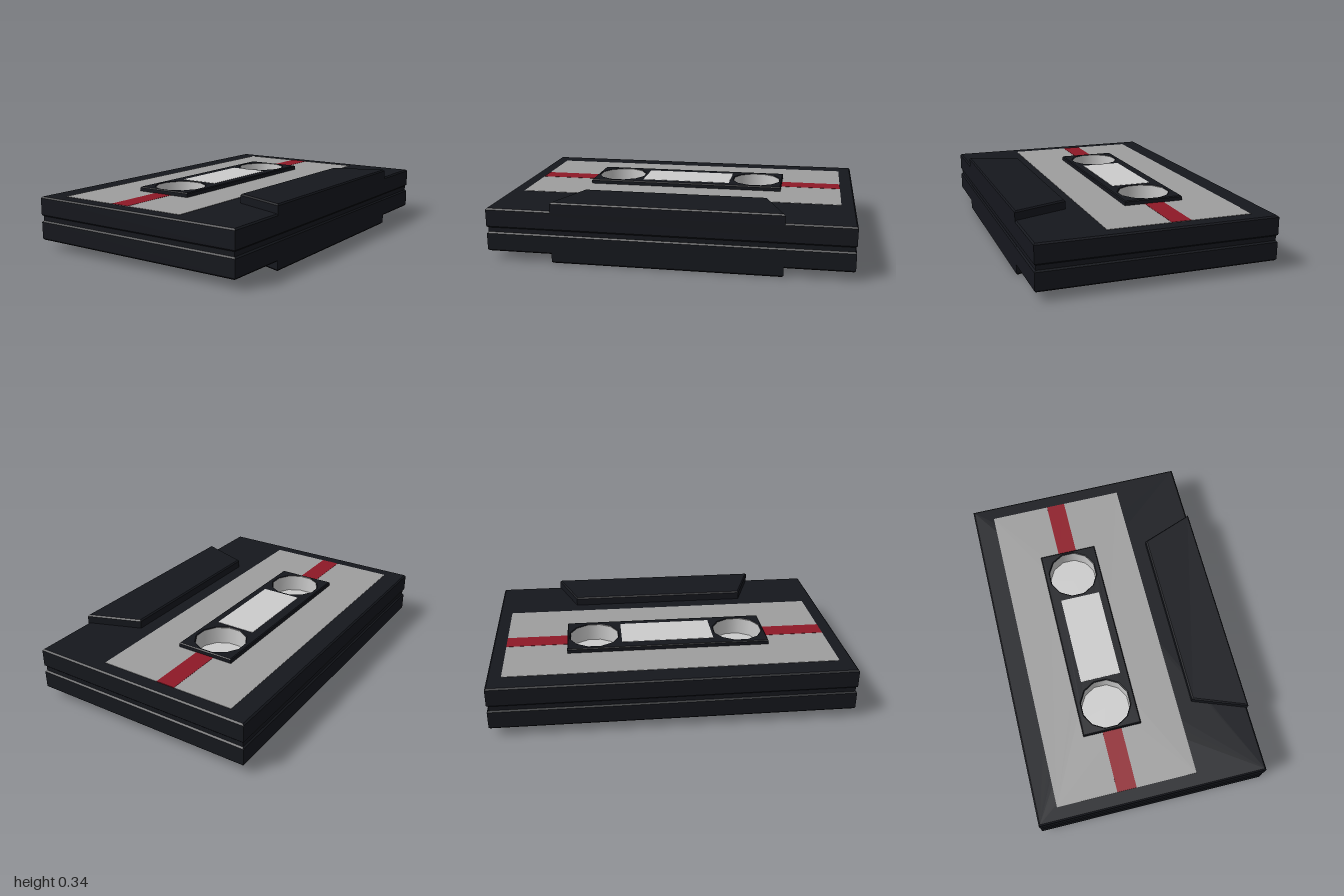
import * as THREE from 'three';

const MID = 0.1725;          // height of the seam plane
const SPOOL_X = -0.135, SPOOL_Z = 0.42, SPOOL_R = 0.142;

const material = (color, side = THREE.FrontSide) =>
  new THREE.MeshStandardMaterial({ color, side });
const black = material(0x15171d);
const paper = material(0x9e9e9e);
const red = material(0x8e1826);
const grey = material(0xcccccc);
const greyInside = material(0xcccccc, THREE.BackSide);

const rect = (x0, x1, z) => [[x0, -z], [x1, -z], [x1, z], [x0, z]];

// Twelve-sided spool opening with flats facing the axes
function spoolHole(z) {
  const pts = [];
  for (let i = 0; i < 12; i++) {
    const a = ((i + 0.5) / 12) * Math.PI * 2;
    pts.push(new THREE.Vector2(SPOOL_X + SPOOL_R * Math.cos(a), z + SPOOL_R * Math.sin(a)));
  }
  return new THREE.Path(pts);
}

// Flat slab with a chamfered outline, spanning y0 to y1
function slab(name, outline, y0, y1, bevel, mat, holed) {
  const shape = new THREE.Shape(outline.map(([x, z]) => new THREE.Vector2(x, z)));
  if (holed) shape.holes.push(spoolHole(SPOOL_Z), spoolHole(-SPOOL_Z));
  const geometry = new THREE.ExtrudeGeometry(shape, {
    depth: y1 - y0 - 2 * bevel,
    bevelEnabled: bevel > 0,
    bevelThickness: bevel,
    bevelSize: bevel,
    bevelOffset: -bevel,
    bevelSegments: 1,
  });
  geometry.translate(0, 0, y0 + bevel).rotateX(-Math.PI / 2);
  const mesh = new THREE.Mesh(geometry, mat);
  mesh.name = name;
  return mesh;
}

// One half of the cassette, growing upwards from the seam plane
function createHalf(name) {
  const half = new THREE.Group();
  half.name = name;
  half.add(
    slab('shell', rect(-0.652, 0.652, 1), 0.0125, 0.1225, 0.008, black, true),
    slab('label', rect(-0.533, 0.265, 0.923), 0.12, 0.1245, 0, paper, true),
    slab('centrePanel', rect(-0.302, 0.035, 0.575), 0.11, 0.15, 0.005, black, true),
    slab('window', rect(-0.243, -0.01, 0.263), 0.14, 0.1515, 0, grey),
    // Raised tape-head block
    slab('headBlock', [[0.35, -0.52], [0.652, -0.632], [0.652, 0.632], [0.35, 0.52]],
      0.0125, 0.1725, 0.008, black),
  );

  for (const s of [-1, 1]) {
    // Label stripe on either side of the centre panel
    const stripe = new THREE.Mesh(new THREE.BoxGeometry(0.11, 0.006, 0.355), red);
    stripe.name = 'stripe';
    stripe.position.set(SPOOL_X, 0.1227, s * 0.7455);
    half.add(stripe);

    // Spool well: wall and floor
    const wall = new THREE.Mesh(
      new THREE.CylinderGeometry(0.141, 0.141, 0.1, 12, 1, true, Math.PI / 12), greyInside);
    wall.name = 'spoolWall';
    wall.position.set(SPOOL_X, 0.0975, s * SPOOL_Z);
    const floor = new THREE.Mesh(
      new THREE.CylinderGeometry(0.141, 0.141, 0.02, 12, 1, false, Math.PI / 12), grey);
    floor.name = 'spoolFloor';
    floor.position.set(SPOOL_X, 0.0395, s * SPOOL_Z);
    half.add(wall, floor);
  }
  return half;
}

export function createModel() {
  const model = new THREE.Group();
  model.name = 'cassette';

  const top = createHalf('topHalf');
  const bottom = createHalf('bottomHalf');
  bottom.rotation.x = Math.PI;
  top.position.y = bottom.position.y = MID;

  // Recessed core that shows as the seam groove
  const core = new THREE.Mesh(new THREE.BoxGeometry(1.288, 0.04, 1.984), black);
  core.name = 'seam';
  core.position.y = MID;

  model.add(top, bottom, core);
  return model;
}
